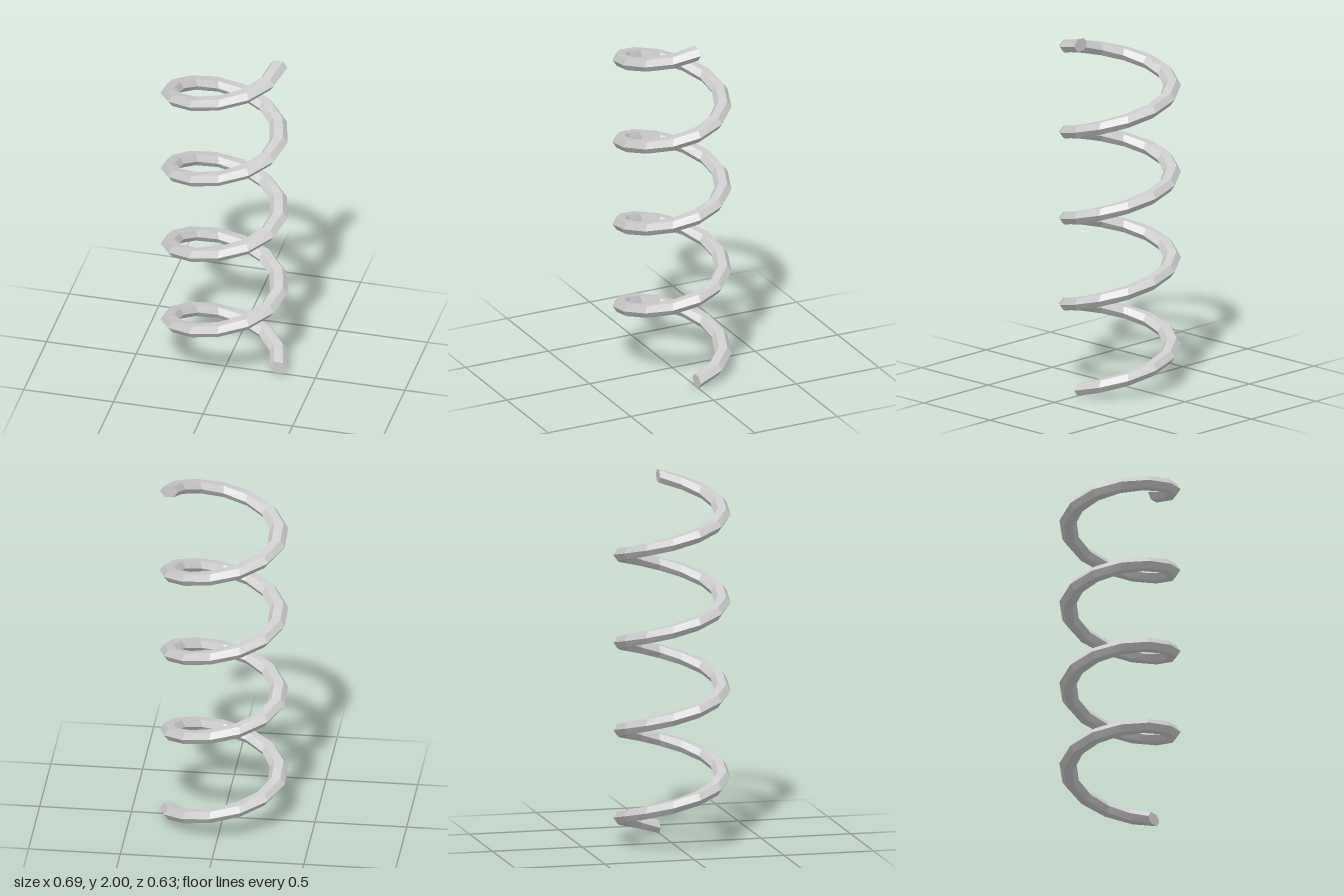
import * as THREE from 'three';

const TURNS = 4, STEPS = 13, SIDES = 6;   // low-poly coil with a six-sided wire
const RADIUS = 0.3, DEPTH_SCALE = 0.908;  // coil is slightly squashed front to back
const HALF_WIDTH = 0.05, HALF_HEIGHT = 0.034;
const RISE = 2 - 2 * HALF_HEIGHT;

// Helix whose wire sections stand upright in radial planes, with flat end caps.
function coilGeometry() {
  const rings = TURNS * STEPS;
  const positions = [], index = [];

  for (let i = 0; i <= rings; i++) {
    const a = (i / STEPS) * Math.PI * 2;
    const y = HALF_HEIGHT + RISE * (i / rings);
    for (let j = 0; j < SIDES; j++) {
      const t = (j / SIDES) * Math.PI * 2;
      const r = RADIUS + HALF_WIDTH * Math.cos(t);
      const h = HALF_HEIGHT * Math.sin(t) / Math.sin(Math.PI / 3);
      positions.push(r * Math.cos(a) - 0.005, y + h, -r * Math.sin(a) * DEPTH_SCALE);
    }
  }

  // wire sides
  for (let i = 0; i < rings; i++) {
    for (let j = 0; j < SIDES; j++) {
      const k = (j + 1) % SIDES;
      const a = i * SIDES + j, b = a + SIDES;
      const c = (i + 1) * SIDES + k, d = i * SIDES + k;
      index.push(a, b, c, a, c, d);
    }
  }

  // end caps
  const last = rings * SIDES;
  for (let j = 1; j < SIDES - 1; j++) {
    index.push(0, j, j + 1);
    index.push(last, last + j + 1, last + j);
  }

  const geometry = new THREE.BufferGeometry();
  geometry.setAttribute('position', new THREE.Float32BufferAttribute(positions, 3));
  geometry.setIndex(index);
  const flat = geometry.toNonIndexed();
  flat.computeVertexNormals();
  return flat;
}

export function createModel() {
  const group = new THREE.Group();
  group.name = 'coilSpring';
  const material = new THREE.MeshStandardMaterial({ color: 0xcccccc, flatShading: true });
  const coil = new THREE.Mesh(coilGeometry(), material);
  coil.name = 'coil';
  group.add(coil);
  return group;
}
